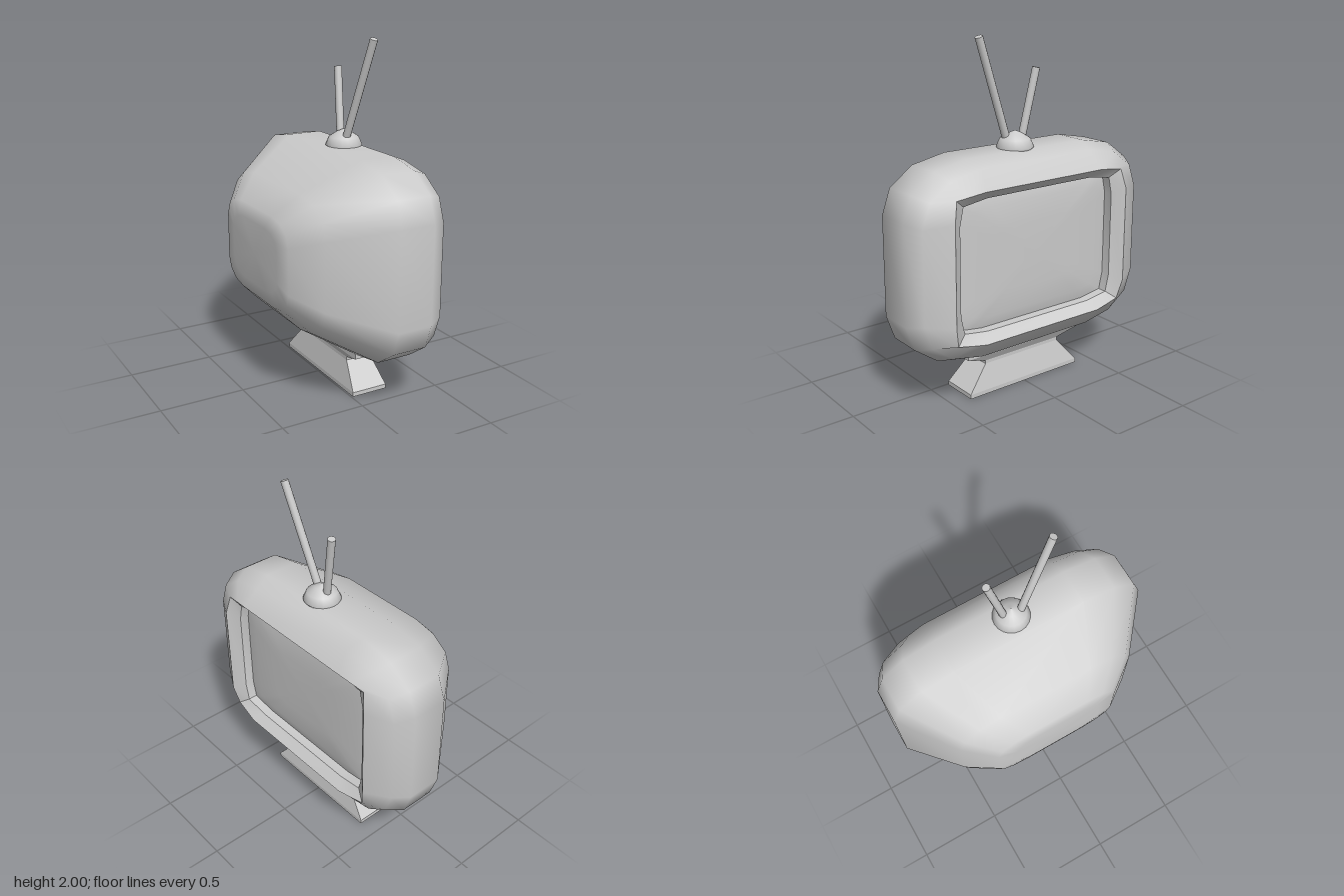
import * as THREE from 'three';
import { toCreasedNormals } from 'three/addons/utils/BufferGeometryUtils.js';

const CY = 0.82; // height of the cabinet's middle

// Skin a series of closed rings; optional fan caps on the first and last ring
function loft(rings, capStart, capEnd) {
  const n = rings[0].length, pos = [], idx = [];
  rings.forEach(r => r.forEach(p => pos.push(...p)));
  for (let i = 0; i < rings.length - 1; i++) {
    for (let j = 0; j < n; j++) {
      const k = (j + 1) % n, a = i * n + j, b = i * n + k;
      idx.push(a, a + n, b, b, a + n, b + n);
    }
  }
  const cap = (ring, first, flip) => {
    const c = pos.length / 3;
    pos.push(...[0, 1, 2].map(k => ring.reduce((s, p) => s + p[k], 0) / n));
    for (let j = 0; j < n; j++) {
      const a = first + j, b = first + (j + 1) % n;
      idx.push(c, flip ? b : a, flip ? a : b);
    }
  };
  if (capStart) cap(rings[0], 0, false);
  if (capEnd) cap(rings[rings.length - 1], (rings.length - 1) * n, true);
  const g = new THREE.BufferGeometry();
  g.setAttribute('position', new THREE.Float32BufferAttribute(pos, 3));
  g.setIndex(idx);
  g.computeVertexNormals();
  return g;
}

// Mirror one corner's [z, y, dx] points (side to top) into a full ring at x
function ring(x, corner) {
  const back = [...corner].reverse();
  const place = (pts, sz, sy) => pts.map(([z, y, dx = 0]) => [x + dx, CY + sy * y, sz * z]);
  return [...place(corner, 1, 1), ...place(back, -1, 1),
    ...place(corner, -1, -1), ...place(back, 1, -1)];
}

// Rounded cabinet corner for half width w and half height h
const round = (w, h) => [[w, h * 0.5], [w * 0.937, h * 0.75], [w * 0.76, h * 0.93], [w * 0.506, h]];

// Tighter corner of the screen opening, dipping back by dip at the corner
const tight = (w, h, dip) => [[w, h * 0.667], [w * 0.958, h * 0.94, -dip],
  [w * 0.82, h * 0.97, -dip / 2], [w * 0.672, h]];

export function createModel() {
  const group = new THREE.Group();
  const material = new THREE.MeshStandardMaterial({ color: 0xcccccc });
  const add = (name, geometry) => {
    const mesh = new THREE.Mesh(geometry, material);
    mesh.name = name;
    group.add(mesh);
    return mesh;
  };

  // Cabinet shell, from the small back panel to the front rim
  const rim = ring(0.408, tight(0.595, 0.42, 0.022));
  const sections = [[-0.41, 0.27, 0.18], [-0.395, 0.38, 0.26], [-0.27, 0.55, 0.385],
    [0.03, 0.793, 0.56], [0.235, 0.793, 0.56], [0.33, 0.74, 0.522]];
  add('cabinet', loft([...sections.map(([x, w, h]) => ring(x, round(w, h))), rim], true, false));

  // Sloping bezel with a short straight step down to the screen
  const inner = tight(0.53, 0.37, 0);
  add('bezel', toCreasedNormals(loft([rim, ring(0.355, inner), ring(0.3, inner)], false, false), 0.5));

  // Gently domed screen
  add('screen', loft([ring(0.3, inner), ring(0.315, tight(0.44, 0.31, 0)),
    ring(0.322, tight(0.25, 0.18, 0))], false, true));

  // Pinched pedestal: [y, half depth, half width]
  const levels = [[0, 0.11, 0.39], [0.025, 0.11, 0.39], [0.17, 0.08, 0.265],
    [0.19, 0.08, 0.265], [0.235, 0.105, 0.4], [0.275, 0.105, 0.4]];
  const stand = levels.map(([y, a, b]) =>
    [[a, -b], [a, b], [-a, b], [-a, -b]].map(([x, z]) => [0.12 + x, y, z - 0.005]));
  add('stand', toCreasedNormals(loft(stand, true, true), 0.2));

  // Antenna knob
  const profile = [[0, 1.36], [0.09, 1.365], [0.105, 1.385], [0.085, 1.43], [0.04, 1.458], [0, 1.475]]
    .map(([r, y]) => new THREE.Vector2(r, y));
  add('antennaBase', new THREE.LatheGeometry(profile, 20)).position.set(0.155, 0, 0.02);

  // Two rods splayed along z
  const rod = (name, from, to) => {
    const a = new THREE.Vector3(...from), b = new THREE.Vector3(...to);
    const dir = b.clone().sub(a);
    const mesh = add(name, new THREE.CylinderGeometry(0.022, 0.022, dir.length(), 12));
    mesh.position.copy(a).add(b).multiplyScalar(0.5);
    mesh.quaternion.setFromUnitVectors(new THREE.Vector3(0, 1, 0), dir.normalize());
  };
  rod('leftAntenna', [0.14, 1.42, 0.065], [0.18, 1.992, 0.278]);
  rod('rightAntenna', [0.158, 1.42, -0.022], [0.185, 1.81, -0.1]);

  return group;
}
